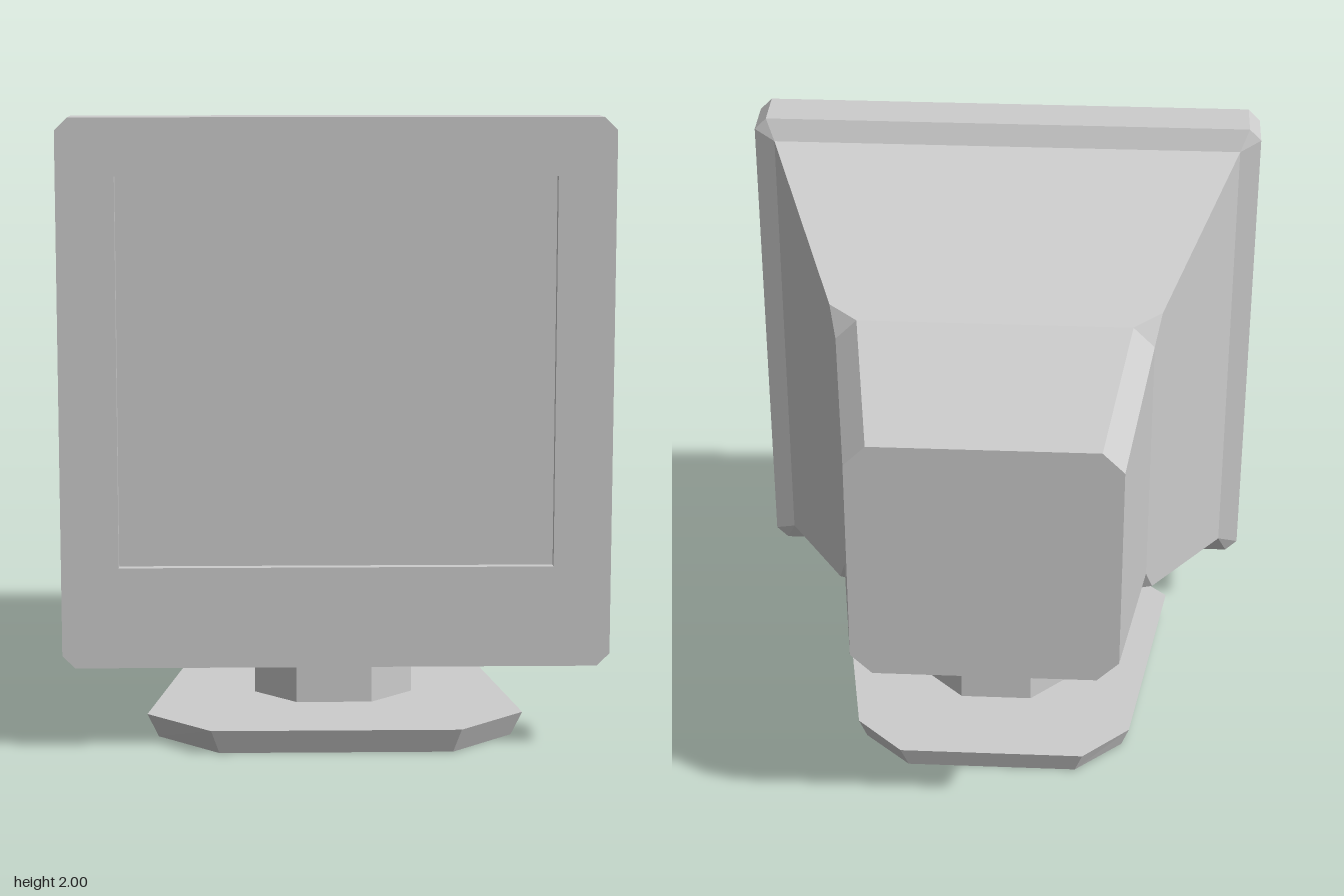
import * as THREE from 'three';

// Skin a list of equal-length rings (counter-clockwise about the travel direction).
function loft(rings, capStart = false, capEnd = false) {
  const pos = [];
  const tri = (a, b, c) => {
    const area = b.clone().sub(a).cross(c.clone().sub(a)).length();
    if (area > 1e-7) pos.push(...a.toArray(), ...b.toArray(), ...c.toArray());
  };
  for (let k = 0; k + 1 < rings.length; k++) {
    const r = rings[k], s = rings[k + 1], n = r.length;
    for (let i = 0; i < n; i++) {
      const j = (i + 1) % n;
      tri(r[i], r[j], s[j]);
      tri(r[i], s[j], s[i]);
    }
  }
  const first = rings[0], last = rings[rings.length - 1];
  for (let i = 1; i + 1 < first.length; i++) {
    if (capStart) tri(first[0], first[i + 1], first[i]);
    if (capEnd) tri(last[0], last[i], last[i + 1]);
  }
  const g = new THREE.BufferGeometry();
  g.setAttribute('position', new THREE.Float32BufferAttribute(pos, 3));
  g.computeVertexNormals();
  return g;
}

// Rectangle with cut corners as eight [u, v] points; cut 0 gives a plain rectangle.
const cutRect = (w, h, c) => [
  [w, c - h], [w, h - c], [w - c, h], [c - w, h],
  [-w, h - c], [-w, c - h], [c - w, -h], [w - c, -h],
];

// Ring facing +z, used for the monitor.
const zRing = (z, w, c = 0, h = w, cy = 1.14) =>
  cutRect(w, h, c).map(([u, v]) => new THREE.Vector3(u, cy + v, z));

// Ring facing +y, used for the stand.
const yRing = (y, h, c, cz = 0.18) =>
  cutRect(h, h, c).map(([u, v]) => new THREE.Vector3(u, y, cz - v));

// Mirrored foot outline, wide at the front and narrow at the back.
function footRing(y, half) {
  const right = half.map(([x, z]) => new THREE.Vector3(x, y, z));
  const left = half.map(([x, z]) => new THREE.Vector3(-x, y, z)).reverse();
  return [...right, ...left];
}

export function createModel() {
  const model = new THREE.Group();
  const grey = new THREE.MeshStandardMaterial({ color: 0xcccccc, flatShading: true });
  grey.name = 'casing grey';
  const add = (name, geometry, parent = model) => {
    const mesh = new THREE.Mesh(geometry, grey);
    mesh.name = name;
    parent.add(mesh);
  };

  // Monitor: tapering tube housing, bezel with a recess, and the screen
  const monitor = new THREE.Group();
  monitor.name = 'monitor';
  model.add(monitor);
  add('rearHousing', loft([
    zRing(-0.78, 0.43, 0.07),
    zRing(-0.16, 0.515, 0.07),
    zRing(-0.1, 0.538),
    zRing(0.57, 0.79),
  ], true), monitor);
  const opening = (z) => zRing(z, 0.68, 0, 0.61, 1.21);
  add('bezel', loft([
    zRing(0.57, 0.79),
    zRing(0.6, 0.86, 0.04),
    zRing(0.76, 0.86, 0.04),
    opening(0.76),
    opening(0.73),
  ]), monitor);
  add('screen', loft([opening(0.73)], false, true), monitor);

  // Stand: foot flaring upward, bevelled collar and post
  const stand = new THREE.Group();
  stand.name = 'stand';
  model.add(stand);
  add('foot', loft([
    footRing(0, [[0.29, -0.37], [0.45, -0.22], [0.57, 0.555], [0.37, 0.75]].reverse()),
    footRing(0.08, [[0.315, -0.395], [0.475, -0.24], [0.605, 0.575], [0.395, 0.78]].reverse()),
  ], true, true), stand);
  add('collar', loft([
    yRing(0.08, 0.26, 0.137),
    yRing(0.21, 0.26, 0.137),
    yRing(0.24, 0.23, 0.125),
  ], false, true), stand);
  add('post', loft([yRing(0.24, 0.18, 0.09), yRing(0.6, 0.18, 0.09)], false, true), stand);

  return model;
}
